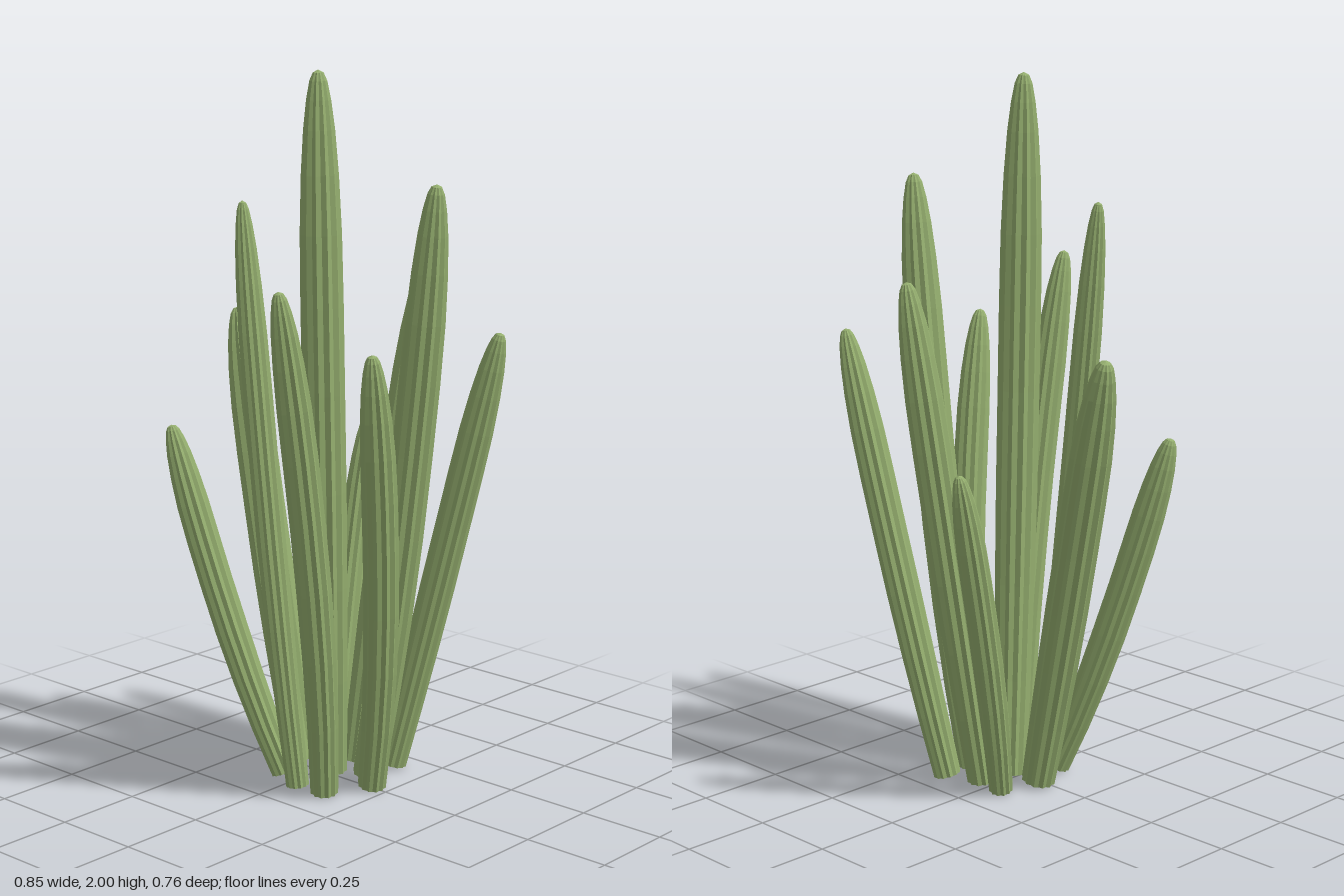
import * as THREE from 'three';

const RIBS = 12, SIDES = RIBS * 2;
// Position along the stem, fraction of full radius
const PROFILE = [
  [0, 0.8], [0.14, 0.89], [0.28, 0.96], [0.42, 1], [0.56, 1], [0.68, 1], [0.78, 0.97],
  [0.86, 0.87], [0.92, 0.73], [0.96, 0.57], [0.985, 0.41], [0.996, 0.25],
];

// Stem data: base x,z / middle x,z / tip x,z / height / radius
const STEMS = [
  [0.027, -0.018, 0.051, 0.034, 0.037, 0.046, 2.0, 0.058],
  [-0.055, -0.137, -0.108, -0.243, -0.132, -0.366, 0.98, 0.041],
  [0.04, -0.118, 0.06, -0.223, 0.12, -0.316, 1.46, 0.052],
  [0.135, -0.165, 0.25, -0.233, 0.406, -0.286, 1.29, 0.047],
  [0.14, -0.055, 0.242, -0.085, 0.35, -0.075, 1.71, 0.055],
  [0.202, 0.003, 0.29, 0.07, 0.353, 0.185, 1.29, 0.048],
  [0.133, 0.126, 0.179, 0.224, 0.186, 0.362, 1.46, 0.048],
  [0.04, 0.135, -0.028, 0.172, -0.12, 0.177, 1.65, 0.04],
  [-0.045, 0.098, -0.19, 0.176, -0.332, 0.249, 1.01, 0.046],
  [-0.085, -0.018, -0.22, -0.037, -0.407, -0.098, 1.29, 0.058],
];

// Ribbed stem swept along a gentle curve, open at the foot, domed at the tip
function stemGeometry([bx, bz, mx, mz, tx, tz, h, radius]) {
  const base = new THREE.Vector3(bx, 0, bz);
  const tip = new THREE.Vector3(tx, h, tz);
  base.y = radius * 0.8 * Math.hypot(mx - bx, mz - bz) / (h / 2) + 0.006;
  const control = new THREE.Vector3(mx, h * 0.46, mz).multiplyScalar(2)
    .addScaledVector(base, -0.5).addScaledVector(tip, -0.5);
  const curve = new THREE.QuadraticBezierCurve3(base, control, tip);
  const pos = [], index = [];
  for (const [s, k] of PROFILE) {
    const c = curve.getPointAt(s), dir = curve.getTangentAt(s);
    const u = new THREE.Vector3(0, 0, 1).cross(dir).negate().normalize();
    const v = u.clone().cross(dir).normalize();
    for (let i = 0; i < SIDES; i++) {
      const a = (i / SIDES) * Math.PI * 2;
      const r = radius * k * (i % 2 ? 0.92 : 1.04);
      const p = c.clone().addScaledVector(u, Math.cos(a) * r).addScaledVector(v, Math.sin(a) * r);
      pos.push(p.x, p.y, p.z);
    }
  }
  pos.push(tip.x, tip.y, tip.z);
  const rings = PROFILE.length, last = rings * SIDES, top = last - SIDES;
  for (let i = 0; i < SIDES; i++) {
    const j = (i + 1) % SIDES;
    for (let s = 0; s < rings - 1; s++) {
      const a = s * SIDES + i, b = s * SIDES + j;
      index.push(a, a + SIDES, b, b, a + SIDES, b + SIDES);
    }
    index.push(top + i, last, top + j);
  }
  const g = new THREE.BufferGeometry();
  g.setAttribute('position', new THREE.Float32BufferAttribute(pos, 3));
  g.setIndex(index);
  g.computeVertexNormals();
  return g;
}

export function createModel() {
  const group = new THREE.Group();
  group.name = 'columnCactus';
  const green = new THREE.MeshStandardMaterial({
    color: 0x96b070, flatShading: true, side: THREE.DoubleSide,
  });
  STEMS.forEach((data, i) => {
    const stem = new THREE.Mesh(stemGeometry(data), green);
    stem.name = i === 0 ? 'centreStem' : `outerStem${i}`;
    group.add(stem);
  });
  return group;
}
